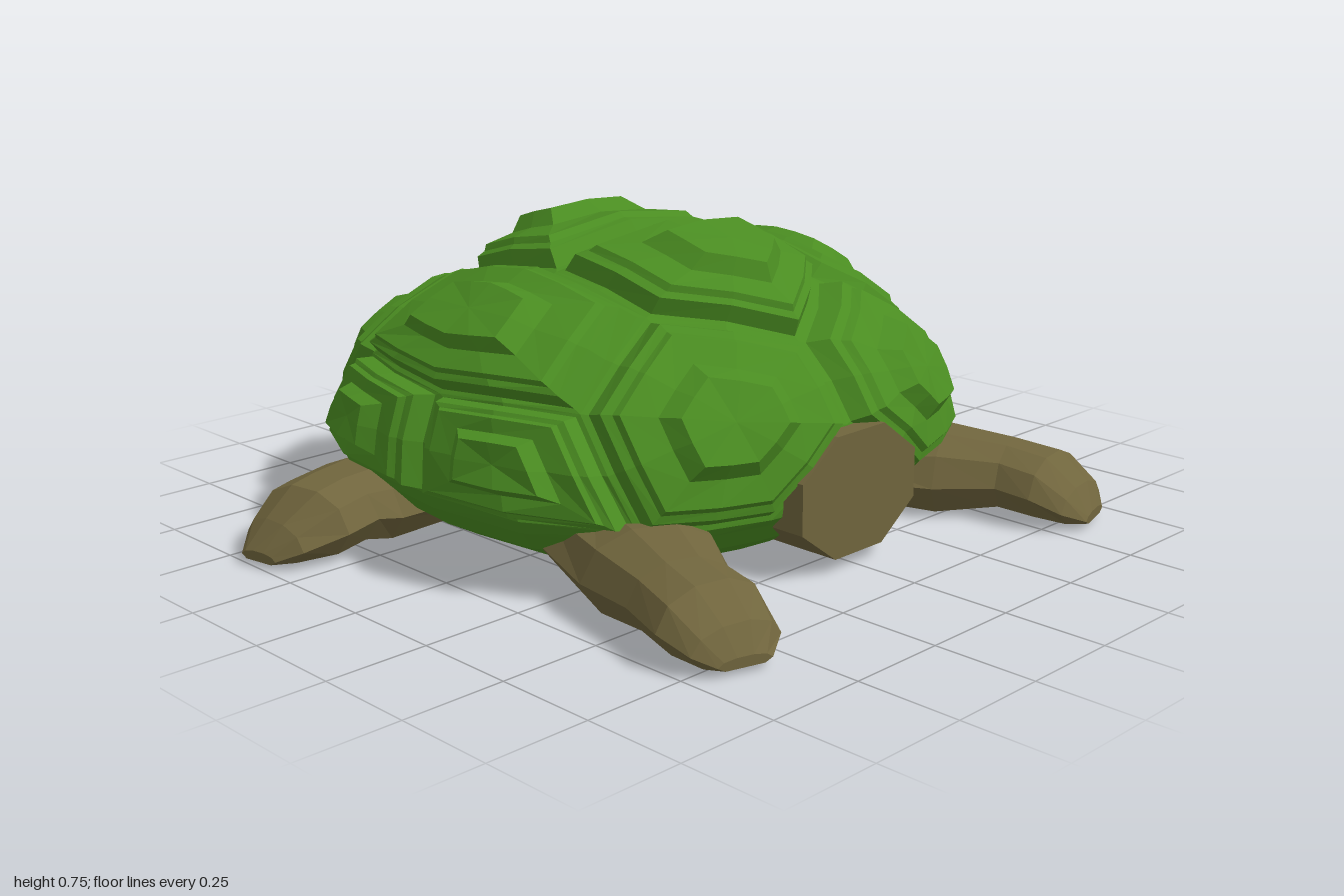
import * as THREE from 'three';

const flat = (name, color) => {
  const m = new THREE.MeshStandardMaterial({ color });
  m.name = name;
  m.flatShading = true;
  return m;
};

// Triangle collector
class Soup {
  constructor() { this.v = []; }
  tri(a, b, c) { for (const p of [a, b, c]) this.v.push(p.x, p.y, p.z); }
  band(r0, r1) {
    const n = r0.length;
    for (let k = 0; k < n; k++) {
      const j = (k + 1) % n;
      this.tri(r0[k], r0[j], r1[j]);
      this.tri(r0[k], r1[j], r1[k]);
    }
  }
  fan(ring, tip) { ring.forEach((p, k) => this.tri(p, ring[(k + 1) % ring.length], tip)); }
  mesh(name, material) {
    const g = new THREE.BufferGeometry();
    g.setAttribute('position', new THREE.Float32BufferAttribute(this.v, 3));
    g.computeVertexNormals();
    const m = new THREE.Mesh(g, material);
    m.name = name;
    return m;
  }
}

// Dome the shell follows
const CORE = new THREE.Vector3(0, 0.17, 0);
const RADII = new THREE.Vector3(0.69, 0.5, 0.7);
const norm = (p) => p.clone().sub(CORE).divide(RADII).length();
const place = (p, r) => p.clone().sub(CORE).multiplyScalar(r / norm(p)).add(CORE);
const mix = (p, q, t) => place(p.clone().lerp(q, t), norm(p) * (1 - t) + norm(q) * t);
const raise = (p, h) => {
  const d = p.clone().sub(CORE);
  return p.clone().addScaledVector(d.normalize(), h);
};

// Seam corners in one quarter of the shell; an x or z suffix mirrors them
const SEAM = {
  A: [0, 0.63, 0.29], B: [0.31, 0.57, 0.29], C: [0.52, 0.5, 0],
  D: [0.38, 0.41, 0.56], E: [0, 0.4, 0.65], F: [0, 0.17, 0.7],
  G: [0.53, 0.16, 0.53], H: [0.67, 0.33, 0], I: [0.65, 0.15, 0.23], J: [0.66, 0.15, 0],
};
const corner = (key, sx, sz) => {
  const [x, y, z] = SEAM[key[0]];
  return new THREE.Vector3(x * (key.includes('x') ? -1 : 1) * sx, y, z * (key.includes('z') ? -1 : 1) * sz);
};

// Corners joined by curved edges, ordered to face outward
function outline(keys, sx, sz) {
  const pts = keys.map((k) => corner(k, sx, sz));
  const mid = pts.reduce((s, p) => s.add(p), new THREE.Vector3()).divideScalar(pts.length);
  const n = new THREE.Vector3();
  pts.forEach((p, i) => n.add(p.clone().sub(mid).cross(pts[(i + 1) % pts.length].clone().sub(mid))));
  if (n.dot(mid.clone().sub(CORE)) < 0) pts.reverse();
  const ring = pts.flatMap((p, i) => [p, mix(p, pts[(i + 1) % pts.length], 0.5)]);
  return { ring, mid: place(mid, 1) };
}

// Terraced scute: [size, height] of each step
const STEPS = [[1, 0], [0.94, 0], [0.84, 0.042], [0.76, 0.046], [0.71, 0.06], [0.47, 0.06], [0.34, 0.096]];
function scute(keys, sx, sz, material) {
  const soup = new Soup();
  const { ring, mid } = outline(keys, sx, sz);
  const rings = STEPS.map(([s, h]) => ring.map((p) => raise(mix(mid, p, s), h)));
  for (let i = 1; i < rings.length; i++) soup.band(rings[i - 1], rings[i]);
  soup.fan(rings[rings.length - 1], raise(mid, 0.094));
  return soup.mesh('scute', material);
}

function shell(material) {
  const g = new THREE.Group();
  g.name = 'shell';
  for (const s of [1, -1]) {
    g.add(scute(['A', 'B', 'C', 'Bz', 'Az'], s, 1, material));
    g.add(scute(['A', 'B', 'D', 'E', 'Dx', 'Bx'], 1, s, material));
    for (const t of [1, -1]) {
      g.add(scute(['B', 'C', 'H', 'I', 'G', 'D'], s, t, material));
      g.add(scute(['D', 'E', 'F', 'G'], s, t, material));
    }
    // plain panel behind the neck and tail
    const end = new Soup();
    const { ring, mid } = outline(['H', 'I', 'J', 'Iz'], s, 1);
    end.fan(ring, mid);
    g.add(end.mesh('endPanel', material));
  }
  // rim and flat belly
  const loop = ['F', 'G', 'I', 'J', 'Iz', 'Gz', 'Fz', 'Gxz', 'Ixz', 'Jx', 'Ix', 'Gx'].map((k) => corner(k, 1, 1));
  const edge = loop.flatMap((p, i) => [p, mix(p, loop[(i + 1) % 12], 0.5)]).reverse();
  const level = (s, y) => edge.map((p) => new THREE.Vector3(p.x * s, y, p.z * s));
  const rim = new Soup();
  const rings = [edge, level(0.97, 0.13), level(0.91, 0.08), level(0.78, 0.03)];
  for (let i = 1; i < rings.length; i++) rim.band(rings[i - 1], rings[i]);
  rim.fan(rings[3], new THREE.Vector3(0, 0.03, 0));
  g.add(rim.mesh('rimAndBelly', material));
  g.position.x = -0.13;
  return g;
}

// Leg lofted through sections [x, y, z, half width, half height]
const FRONT_LEG = [
  [0.2, 0.1, 0.4, 0.2, 0.07], [0.44, 0.097, 0.52, 0.17, 0.092], [0.59, 0.1, 0.585, 0.13, 0.072],
  [0.7, 0.09, 0.61, 0.14, 0.068], [0.78, 0.055, 0.62, 0.115, 0.04], [0.815, 0.025, 0.63, 0.065, 0.012],
];
const REAR_LEG = [
  [-0.42, 0.1, 0.4, 0.2, 0.07], [-0.45, 0.08, 0.66, 0.175, 0.08], [-0.42, 0.09, 0.77, 0.145, 0.072],
  [-0.385, 0.09, 0.86, 0.145, 0.07], [-0.395, 0.055, 0.94, 0.115, 0.04], [-0.385, 0.025, 0.995, 0.055, 0.012],
];
// Flat-soled cross-section, as [across, up]
const SECTION = [[1, -0.2], [0.78, 0.6], [0.3, 1], [-0.3, 1], [-0.78, 0.6], [-1, -0.2], [-0.72, -1], [0.72, -1]];
function leg(path, sz, name, material) {
  const centres = path.map(([x, y, z]) => new THREE.Vector3(x, y, z * sz));
  const rings = path.map(([, , , w, h], i) => {
    const d = centres[Math.min(i + 1, 5)].clone().sub(centres[Math.max(i - 1, 0)]).setY(0).normalize();
    const side = new THREE.Vector3(0, 1, 0).cross(d);
    return SECTION.map(([a, b]) => {
      const p = centres[i].clone().addScaledVector(side, w * a);
      p.y += h * b;
      return p;
    });
  });
  const soup = new Soup();
  for (let i = 1; i < rings.length; i++) soup.band(rings[i - 1], rings[i]);
  soup.fan(rings[5], centres[5]);
  soup.fan([...rings[0]].reverse(), centres[0]);
  return soup.mesh(name, material);
}

// Cut-off neck or tail lying along x
function stump(name, x0, x1, y, ry, rz, materials) {
  const geo = new THREE.CylinderGeometry(1, 1, x1 - x0, 8, 1, false, Math.PI / 8).rotateZ(-Math.PI / 2);
  geo.scale(1, ry, rz).translate((x0 + x1) / 2, y, 0);
  const m = new THREE.Mesh(geo, materials);
  m.name = name;
  return m;
}

// Pale flecks on the tail end: [y, z, height, width]
const FLECKS = [
  [0.13, -0.11, 0.03, 0.08], [0.18, -0.15, 0.05, 0.03], [0.18, -0.05, 0.06, 0.035], [0.24, -0.04, 0.035, 0.1],
  [0.14, 0.04, 0.04, 0.05], [0.2, 0.06, 0.05, 0.025], [0.26, 0.09, 0.04, 0.06], [0.19, 0.14, 0.06, 0.035],
];
function flecks(material) {
  const g = new THREE.Group();
  g.name = 'tailFlecks';
  for (const [y, z, h, w] of FLECKS) {
    const m = new THREE.Mesh(new THREE.BoxGeometry(0.004, h, w), material);
    m.name = 'fleck';
    m.position.set(-0.831, y, z);
    g.add(m);
  }
  return g;
}

export function createModel() {
  const green = flat('shellGreen', 0x4a8c21);
  const skin = flat('skinBrown', 0x70653d);
  const orange = flat('tailOrange', 0xe88f0a);
  const pale = flat('paleGrey', 0xd8d0c8);
  const model = new THREE.Group();
  model.name = 'tortoise';
  model.add(shell(green));
  for (const s of [1, -1]) {
    model.add(leg(FRONT_LEG, s, s > 0 ? 'frontLegA' : 'frontLegB', skin));
    model.add(leg(REAR_LEG, s, s > 0 ? 'rearLegA' : 'rearLegB', skin));
  }
  model.add(stump('neckStump', 0.3, 0.585, 0.18, 0.159, 0.216, [skin, skin, skin]));
  model.add(stump('tailStump', -0.83, -0.5, 0.195, 0.13, 0.225, [skin, skin, orange]));
  model.add(flecks(pale));
  return model;
}
